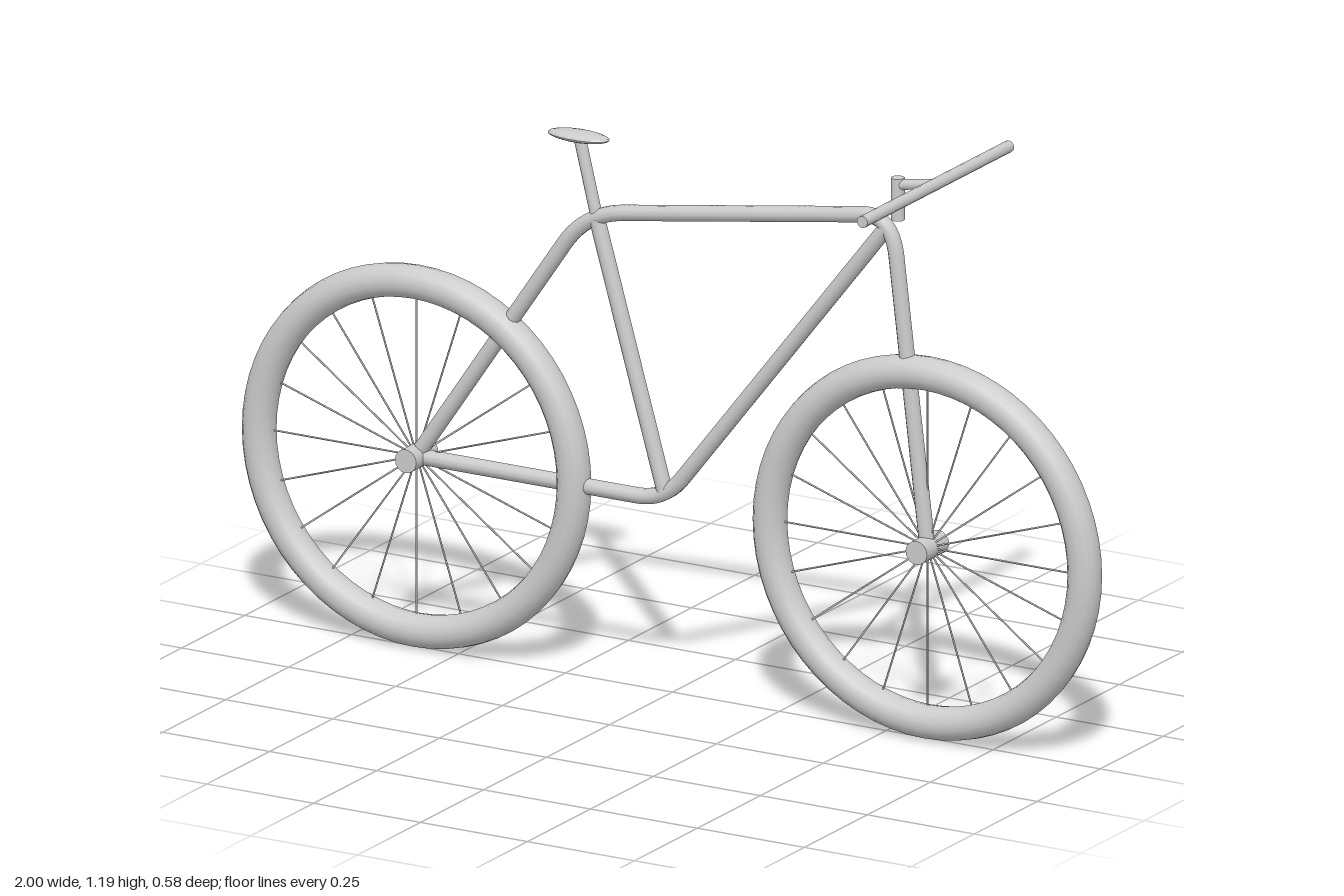
import * as THREE from 'three';

const mat = new THREE.MeshStandardMaterial({ color: 0xcccccc });
const flat = new THREE.MeshStandardMaterial({ color: 0xcccccc, flatShading: true });
const V = (x, y, z = 0) => new THREE.Vector3(x, y, z);

const HUB_Y = 0.406, REAR_X = -0.598, FRONT_X = 0.596;
const TIRE_R = 0.368, TIRE_TUBE = 0.035;

function add(parent, name, geometry, material = mat) {
  const mesh = new THREE.Mesh(geometry, material);
  mesh.name = name;
  parent.add(mesh);
  return mesh;
}

// Straight round rod between two points
function rod(parent, name, a, b, r, sides = 12) {
  const mesh = add(parent, name, new THREE.CylinderGeometry(r, r, a.distanceTo(b), sides));
  mesh.position.copy(a).add(b).multiplyScalar(0.5);
  mesh.quaternion.setFromUnitVectors(V(0, 1, 0), b.clone().sub(a).normalize());
  return mesh;
}

// Bent frame tube: straight runs joined by rounded bends [start, control, end]
function bentTube(parent, name, start, bends, end, r) {
  const path = new THREE.CurvePath();
  let last = start;
  for (const [a, c, b] of bends) {
    path.add(new THREE.LineCurve3(last, a));
    path.add(new THREE.QuadraticBezierCurve3(a, c, b));
    last = b;
  }
  path.add(new THREE.LineCurve3(last, end));
  return add(parent, name, new THREE.TubeGeometry(path, 160, r, 10, false));
}

function wheel(name, x) {
  const g = new THREE.Group();
  g.name = name;
  g.position.set(x, HUB_Y, 0);
  add(g, 'tire', new THREE.TorusGeometry(TIRE_R, TIRE_TUBE, 14, 64));
  rod(g, 'hub', V(0, 0, -0.044), V(0, 0, 0.044), 0.025, 16);
  for (let i = 0; i < 20; i++) {
    const a = (i / 20) * Math.PI * 2;
    const d = V(Math.cos(a), Math.sin(a));
    rod(g, 'spoke', d.clone().multiplyScalar(0.01), d.clone().multiplyScalar(TIRE_R - 0.02), 0.002, 5);
  }
  return g;
}

export function createModel() {
  const bike = new THREE.Group();
  bike.name = 'bicycle';
  bike.add(wheel('rearWheel', REAR_X), wheel('frontWheel', FRONT_X));

  // Frame
  const frame = new THREE.Group();
  frame.name = 'frame';
  bike.add(frame);
  const rearHub = V(REAR_X, HUB_Y), frontHub = V(FRONT_X, HUB_Y);
  bentTube(frame, 'seatStayTopTubeAndFork', rearHub, [
    [V(-0.25, 0.915), V(-0.2, 0.985), V(-0.115, 0.998)],
    [V(0.445, 1.086), V(0.51, 1.096), V(0.523, 1.015)],
  ], frontHub, 0.0165);
  bentTube(frame, 'chainStayAndDownTube', rearHub, [
    [V(-0.085, HUB_Y), V(-0.018, HUB_Y), V(0.022, 0.457)],
  ], V(0.5, 1.066), 0.0165);
  rod(frame, 'seatTube', V(-0.018, 0.425), V(-0.176, 0.975), 0.0165);

  // Seat
  rod(bike, 'seatPost', V(-0.174, 0.967), V(-0.217, 1.142), 0.0125);
  const seat = add(bike, 'seat', new THREE.SphereGeometry(1, 14, 8), flat);
  seat.scale.set(0.071, 0.011, 0.031);
  seat.position.set(-0.219, 1.144, 0);

  // Handlebar and stem
  rod(bike, 'stem', V(0.527, 1.088), V(0.527, 1.177), 0.014);
  rod(bike, 'stemExtension', V(0.527, 1.162), V(0.615, 1.177), 0.011);
  rod(bike, 'handlebar', V(0.615, 1.177, -0.291), V(0.615, 1.177, 0.291), 0.0125);

  return bike;
}
